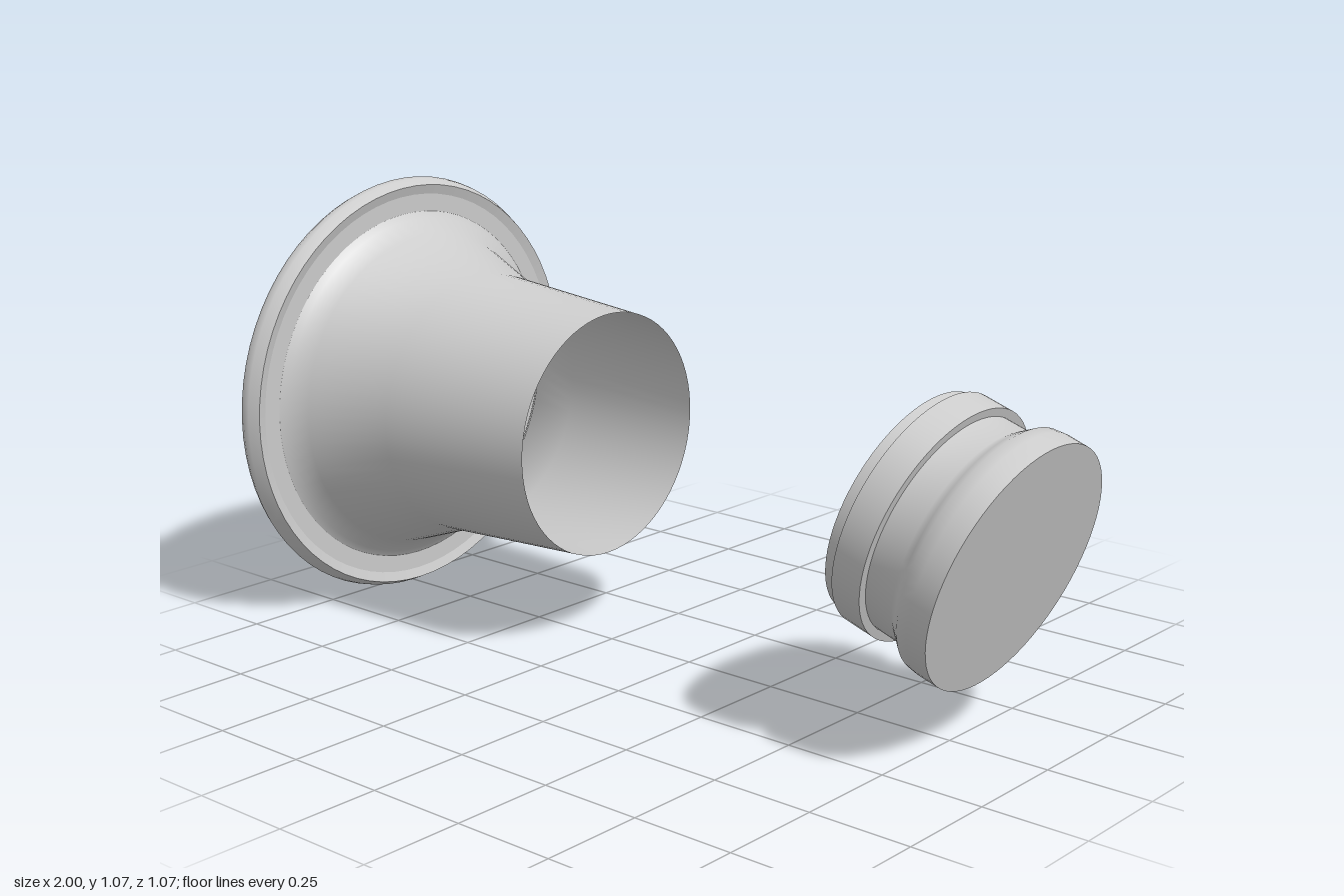
import * as THREE from 'three';

const metal = new THREE.MeshStandardMaterial({ color: 0xcccccc, side: THREE.DoubleSide });
metal.name = 'light grey';

// Smooth turned band from [radius, distance along axis] pairs; its axis runs along +x
function band(name, pairs) {
  const points = pairs.map(([r, s]) => new THREE.Vector2(r, s));
  const geometry = new THREE.LatheGeometry(points, 72);
  geometry.rotateZ(-Math.PI / 2);
  const mesh = new THREE.Mesh(geometry, metal);
  mesh.name = name;
  return mesh;
}

// Separate bands keep hard edges between them
function turnedPart(name, bands, x, y, tilt) {
  const group = new THREE.Group();
  group.name = name;
  for (const [bandName, pairs] of Object.entries(bands)) group.add(band(bandName, pairs));
  group.position.set(x, y, 0);
  group.rotation.z = -tilt;
  return group;
}

export function createModel() {
  const model = new THREE.Group();
  model.name = 'hornAndPlug';

  // Flared tube, open at its narrow end, with a recessed disc in the rim
  model.add(turnedPart('horn', {
    backDisc: [[0, 0.06], [0.455, 0.06]],
    rim: [[0.455, 0.06], [0.465, 0.035], [0.485, 0.012], [0.502, 0.002], [0.517, 0.001],
      [0.53, 0.012], [0.537, 0.027], [0.534, 0.042], [0.521, 0.068]],
    rimLip: [[0.521, 0.068], [0.497, 0.06]],
    flangeRing: [[0.497, 0.06], [0.453, 0.06]],
    flare: [[0.453, 0.06], [0.437, 0.071], [0.402, 0.108], [0.328, 0.305], [0.298, 0.738]],
  }, -0.99, 0.545, 0.025));

  // Stepped plug with a groove and a rounded shoulder
  model.add(turnedPart('plug', {
    innerFace: [[0, -0.294], [0.27, -0.294]],
    spigot: [[0.27, -0.294], [0.27, -0.264]],
    collarFront: [[0.27, -0.264], [0.284, -0.264]],
    collar: [[0.284, -0.264], [0.284, -0.188]],
    collarBack: [[0.284, -0.188], [0.264, -0.188]],
    shoulder: [[0.264, -0.188], [0.264, -0.118], [0.281, -0.096], [0.295, -0.078],
      [0.298, -0.05], [0.297, 0]],
    outerFace: [[0.297, 0], [0, 0]],
  }, 0.9025, 0.4325, 0.316));

  return model;
}
